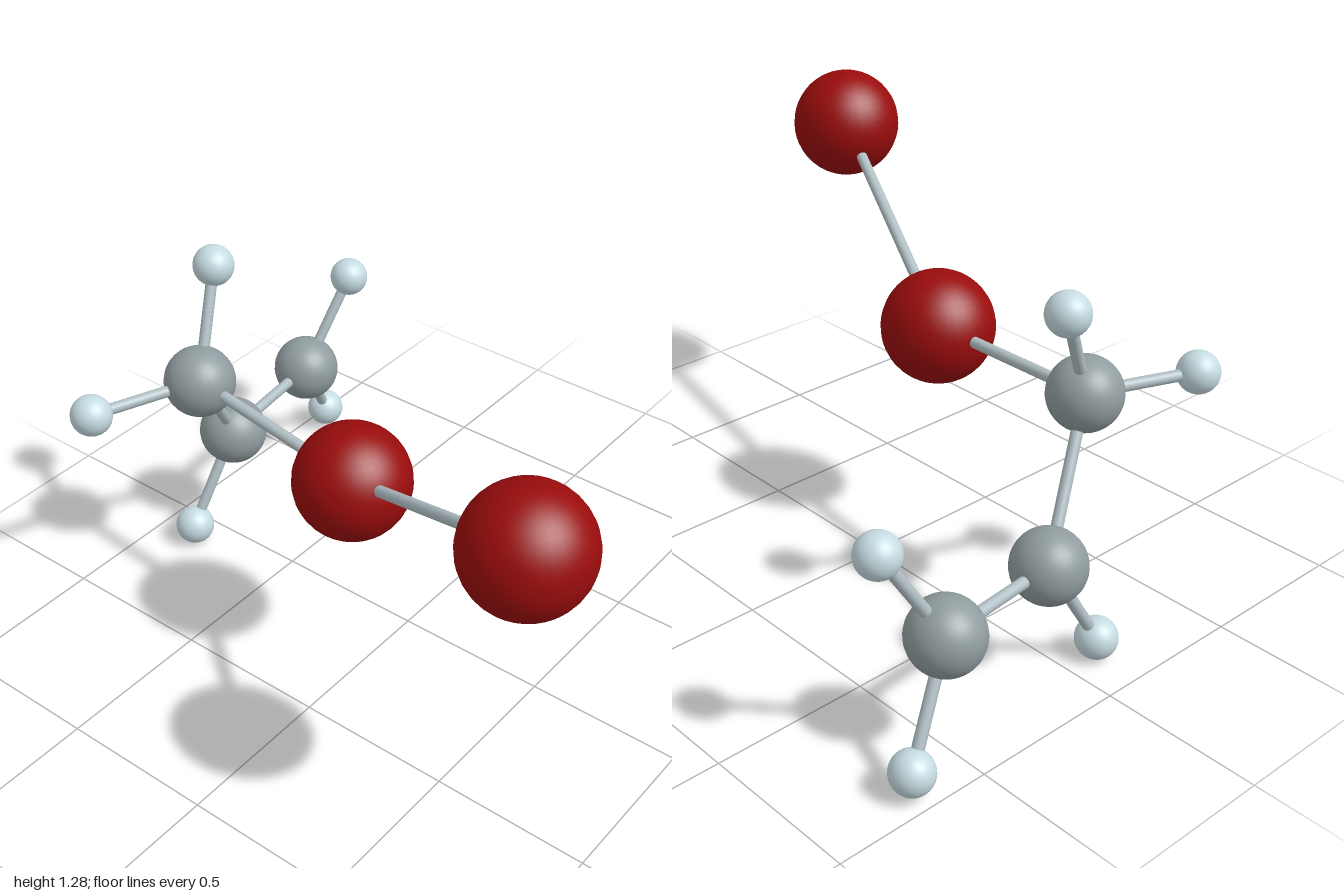
import * as THREE from 'three';

const material = (color) => new THREE.MeshStandardMaterial({ color });

export function createModel() {
  const model = new THREE.Group();
  model.name = 'molecule';

  // Atom kinds: radius and colour
  const kinds = {
    largeAtom: { radius: 0.18, material: material(0x990c0c) },
    mediumAtom: { radius: 0.113, material: material(0x909c9f) },
    smallAtom: { radius: 0.065, material: material(0xc6dce2) },
  };
  for (const kind of Object.values(kinds)) {
    kind.geometry = new THREE.SphereGeometry(kind.radius, 32, 24);
  }
  const bondMaterial = material(0xb0bfc4);

  // Atom centres
  const atoms = {
    redEnd: ['largeAtom', 0.82, 1.11, 0.592],
    redMiddle: ['largeAtom', -0.01, 0.73, 0.253],
    greyUpper: ['mediumAtom', -0.675, 0.776, 0.19],
    greyLower: ['mediumAtom', -0.81, 0.381, -0.075],
    greyBack: ['mediumAtom', -0.86, 0.385, -0.517],
    whiteTop: ['smallAtom', -0.74, 1.094, 0.026],
    whiteFront: ['smallAtom', -0.805, 0.778, 0.53],
    whiteBottom: ['smallAtom', -0.845, 0.07, 0.11],
    whiteBackUpper: ['smallAtom', -0.81, 0.69, -0.709],
    whiteBackLower: ['smallAtom', -0.935, 0.082, -0.7],
  };
  const centres = {};
  for (const [name, [kind, x, y, z]] of Object.entries(atoms)) {
    const atom = new THREE.Mesh(kinds[kind].geometry, kinds[kind].material);
    atom.name = name + 'Atom';
    atom.position.set(x, y, z);
    centres[name] = atom.position;
    model.add(atom);
  }

  // Rods joining pairs of atom centres
  const bonds = [
    ['redEnd', 'redMiddle'],
    ['redMiddle', 'greyUpper'],
    ['greyUpper', 'greyLower'],
    ['greyLower', 'greyBack'],
    ['greyUpper', 'whiteTop'],
    ['greyUpper', 'whiteFront'],
    ['greyLower', 'whiteBottom'],
    ['greyBack', 'whiteBackUpper'],
    ['greyBack', 'whiteBackLower'],
  ];
  const up = new THREE.Vector3(0, 1, 0);
  for (const [from, to] of bonds) {
    const direction = centres[to].clone().sub(centres[from]);
    const rod = new THREE.Mesh(
      new THREE.CylinderGeometry(0.018, 0.018, direction.length(), 16),
      bondMaterial
    );
    rod.name = `${from}To${to[0].toUpperCase()}${to.slice(1)}Bond`;
    rod.position.copy(centres[from]).add(centres[to]).multiplyScalar(0.5);
    rod.quaternion.setFromUnitVectors(up, direction.normalize());
    model.add(rod);
  }

  return model;
}
